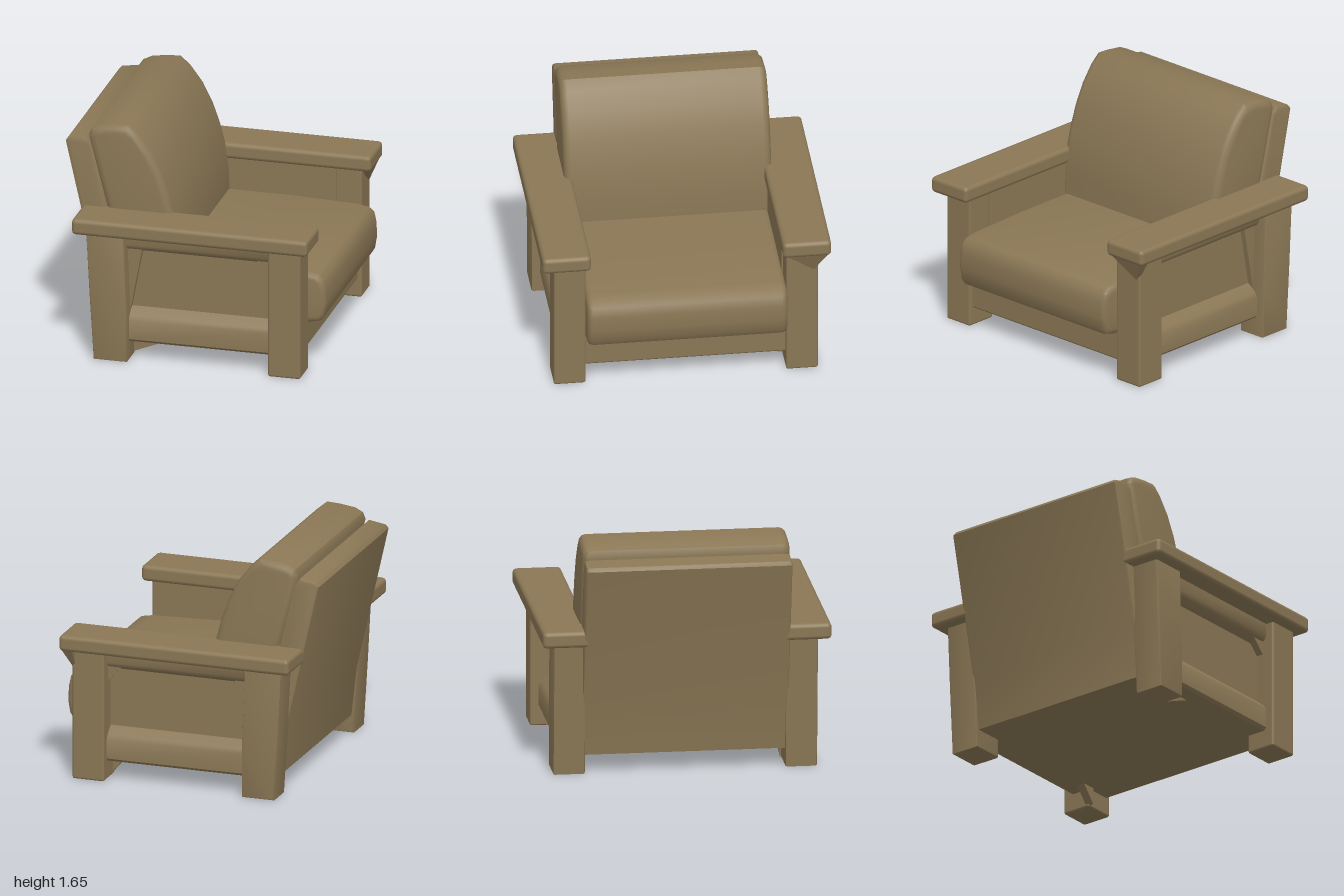
import * as THREE from 'three';
import { toCreasedNormals } from 'three/addons/utils/BufferGeometryUtils.js';
import { RoundedBoxGeometry } from 'three/addons/geometries/RoundedBoxGeometry.js';
import { ConvexGeometry } from 'three/addons/geometries/ConvexGeometry.js';

const brown = new THREE.MeshStandardMaterial({ color: 0x8a7755 });
brown.name = 'brown upholstery';

function add(group, name, geometry) {
  const mesh = new THREE.Mesh(geometry, brown);
  mesh.name = name;
  group.add(mesh);
  return mesh;
}

// Side profile (x, y) extruded across z, with softened edges
function slab(points, z0, z1, bevel, segments = 2) {
  const shape = new THREE.Shape(points.map(([x, y]) => new THREE.Vector2(x, y)));
  const geo = new THREE.ExtrudeGeometry(shape, {
    depth: z1 - z0 - 2 * bevel, bevelEnabled: bevel > 0, bevelThickness: bevel,
    bevelSize: bevel, bevelOffset: -bevel, bevelSegments: segments,
  });
  geo.translate(0, 0, z0 + bevel);
  return toCreasedNormals(geo, 0.7);
}

function box(x0, x1, y0, y1, z0, z1, radius) {
  const geo = new RoundedBoxGeometry(x1 - x0, y1 - y0, z1 - z0, 2, radius);
  geo.translate((x0 + x1) / 2, (y0 + y1) / 2, (z0 + z1) / 2);
  return geo;
}

// Recessed arm panel with thicker rails below and above, extruded along x
function armPanel(side) {
  const profile = [[0.68, 0.13], [0.83, 0.13], [0.85, 0.15], [0.85, 0.29], [0.83, 0.32], [0.77, 0.37],
    [0.77, 0.78], [0.83, 0.81], [0.85, 0.84], [0.85, 0.95], [0.68, 0.95]];
  const shape = new THREE.Shape(profile.map(([z, y]) => new THREE.Vector2(z * side, y)));
  const geo = new THREE.ExtrudeGeometry(shape, { depth: 1.1, bevelEnabled: false });
  geo.rotateY(-Math.PI / 2);
  geo.translate(0.62, 0, 0);
  return toCreasedNormals(geo, 0.7);
}

export function createModel() {
  const chair = new THREE.Group();
  chair.name = 'armchair';

  // Seat base and cushion
  add(chair, 'seatBase', box(-0.62, 0.77, 0.13, 0.35, -0.7, 0.7, 0.015));
  add(chair, 'seatCushion', slab([
    [-0.5, 0.33], [0.8, 0.33], [0.88, 0.35], [0.905, 0.39], [0.92, 0.48], [0.915, 0.58],
    [0.9, 0.65], [0.86, 0.685], [0.78, 0.7], [0.3, 0.715], [-0.5, 0.715],
  ], -0.69, 0.69, 0.04, 3));

  // Leaning back panel and its cushion
  add(chair, 'backPanel', slab([
    [-0.65, 0.13], [-0.5, 0.13], [-0.5, 0.5], [-0.74, 1.5], [-0.78, 1.545],
    [-0.9, 1.525], [-0.92, 1.5], [-0.69, 0.48],
  ], -0.71, 0.71, 0.02));
  add(chair, 'backCushion', slab([
    [-0.56, 0.7], [-0.13, 0.7], [-0.135, 0.85], [-0.16, 1.04], [-0.2, 1.19], [-0.25, 1.33],
    [-0.32, 1.47], [-0.41, 1.59], [-0.48, 1.65], [-0.57, 1.645], [-0.68, 1.63],
    [-0.74, 1.6], [-0.76, 1.55], [-0.63, 1.05],
  ], -0.715, 0.715, 0.05, 3));

  // Arms and legs on both sides
  for (const side of [1, -1]) {
    const span = (a, b) => (side > 0 ? [a, b] : [-b, -a]);
    const arm = new THREE.Group();
    arm.name = side > 0 ? 'leftArm' : 'rightArm';
    chair.add(arm);
    add(arm, 'armrest', box(-0.8, 0.87, 0.93, 1.045, ...span(0.66, 0.995), 0.03));
    add(arm, 'armPanel', armPanel(side));
    add(arm, 'frontLeg', box(0.57, 0.8, 0, 0.96, ...span(0.69, 0.91), 0.015));
    add(arm, 'backLeg', slab([
      [-0.665, 0], [-0.43, 0], [-0.43, 0.35], [-0.455, 0.96], [-0.72, 0.96], [-0.695, 0.48],
    ], ...span(0.69, 0.91), 0.012));
    // Corner braces framing the panel
    add(arm, 'frontBrace', slab([[0.59, 0.69], [0.59, 0.83], [0.45, 0.83]], ...span(0.75, 0.82), 0));
    add(arm, 'backBrace', slab([[-0.45, 0.35], [-0.43, 0.35], [-0.35, 0.78], [-0.34, 0.83], [-0.47, 0.83]],
      ...span(0.75, 0.81), 0));
  }

  // Gussets at the feet and under one armrest end
  add(chair, 'backFootGusset', slab([[-0.44, 0.01], [-0.12, 0.14], [-0.44, 0.14]], 0.68, 0.72, 0));
  add(chair, 'frontFootGusset', slab([[0.58, 0.01], [0.58, 0.14], [0.47, 0.14]], -0.72, -0.66, 0));
  const bracket = [[0.78, 0.95, -0.68], [0.86, 0.95, -0.68], [0.78, 0.95, -0.98], [0.86, 0.95, -0.98],
    [0.78, 0.79, -0.89], [0.8, 0.79, -0.88], [0.78, 0.82, -0.83]];
  add(chair, 'armrestBracket', new ConvexGeometry(bracket.map((p) => new THREE.Vector3(...p))));

  return chair;
}
